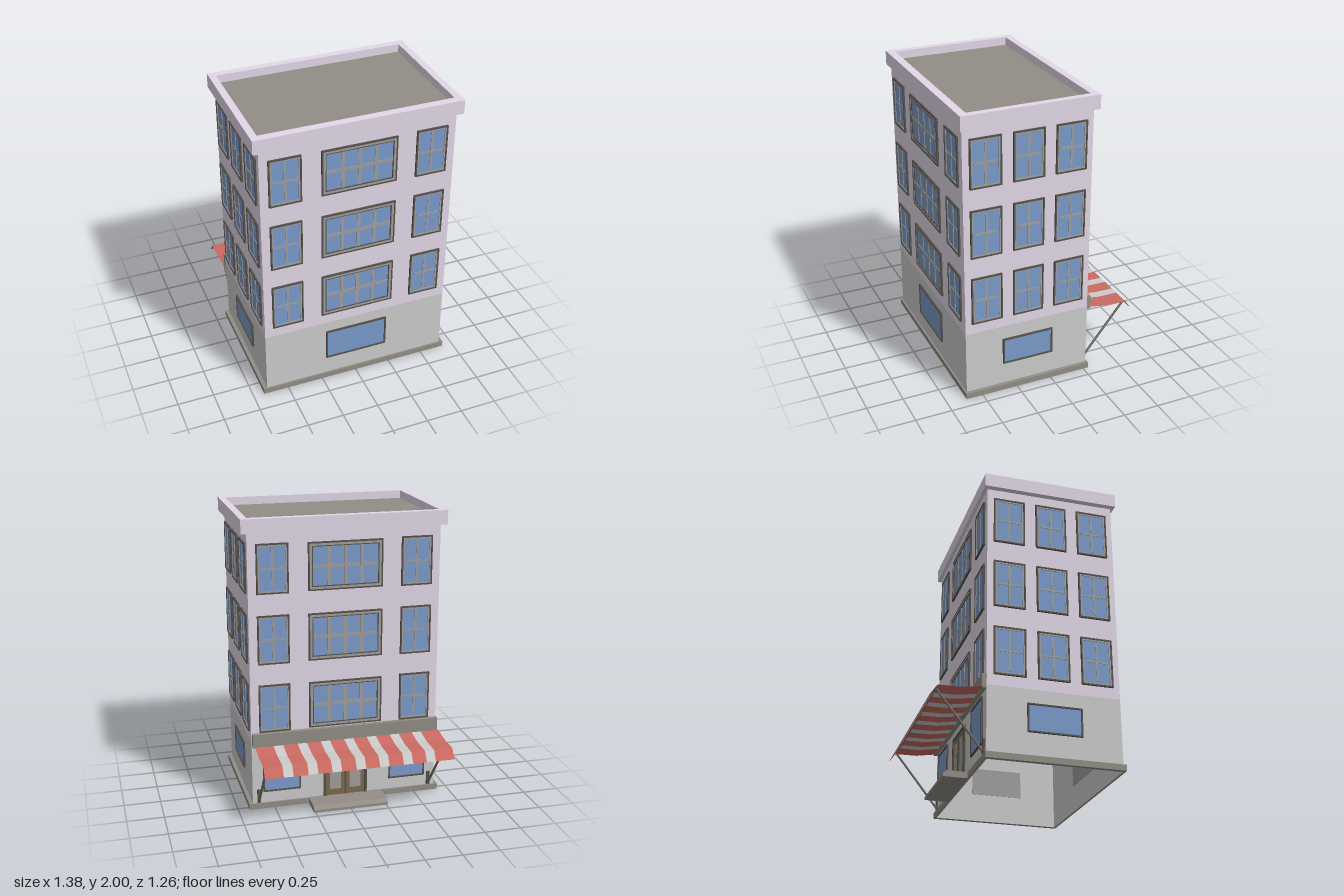
import * as THREE from 'three';

const material = (color, side = THREE.FrontSide) =>
  new THREE.MeshStandardMaterial({ color, side });
const WALL = material(0xe3d8e9), STONE = material(0xcccccc), ROOF = material(0x928e86);
const DARK = material(0x57524b), TRIM = material(0xa09f9c), GLASS = material(0x7b9bcb);
const WOOD = material(0x7d6a50), METAL = material(0x77736e), BACKING = material(0xa0a0a0);
const RED = material(0xcb6a62, THREE.DoubleSide), WHITE = material(0xdcdcdc, THREE.DoubleSide);

const W = 0.65, FRONT = 0.605, BACK = -0.275;

function add(parent, name, geometry, mat) {
  const mesh = new THREE.Mesh(geometry, mat);
  mesh.name = name;
  parent.add(mesh);
  return mesh;
}

// Box given by its lower and upper limits
function box(parent, name, mat, x0, x1, y0, y1, z0, z1) {
  const mesh = add(parent, name, new THREE.BoxGeometry(x1 - x0, y1 - y0, z1 - z0), mat);
  mesh.position.set((x0 + x1) / 2, (y0 + y1) / 2, (z0 + z1) / 2);
  return mesh;
}

// Rectangular ring extruded along +z; outer and inner are [x0, x1, y0, y1]
function ringGeometry(outer, inner, depth) {
  const trace = (p, [x0, x1, y0, y1]) =>
    p.moveTo(x0, y0).lineTo(x1, y0).lineTo(x1, y1).lineTo(x0, y1).closePath();
  const shape = trace(new THREE.Shape(), outer);
  shape.holes.push(trace(new THREE.Path(), inner));
  return new THREE.ExtrudeGeometry(shape, { depth, bevelEnabled: false });
}

// Horizontal ring around the building between two heights
function storeyRing(parent, name, mat, outer, inner, y0, y1) {
  const flip = ([x0, x1, z0, z1]) => [x0, x1, -z1, -z0];
  const geometry = ringGeometry(flip(outer), flip(inner), y1 - y0).rotateX(-Math.PI / 2);
  add(parent, name, geometry, mat).position.y = y0;
}

function frame(parent, name, mat, w, h, thick, depth) {
  const a = w / 2, b = h / 2;
  add(parent, name, ringGeometry([-a, a, -b, b],
    [-a + thick, a - thick, -b + thick, b - thick], depth), mat);
}

// Window facing +z, centred on its own origin
function makeWindow(w, h, cols, rows, wide = false) {
  const g = new THREE.Group();
  g.name = 'window';
  const a = w / 2 - 0.008, b = h / 2 - 0.008;
  box(g, 'glass', GLASS, -a, a, -b, b, -0.002, 0.004);
  frame(g, 'outerFrame', DARK, w, h, 0.01, 0.012);
  if (wide) {
    frame(g, 'middleFrame', TRIM, w - 0.01, h - 0.01, 0.02, 0.011);
    frame(g, 'innerFrame', DARK, w - 0.05, h - 0.05, 0.006, 0.01);
  } else if (cols > 1) {
    frame(g, 'innerFrame', TRIM, w - 0.02, h - 0.02, 0.01, 0.008);
  }
  const bar = wide ? 0.011 : 0.007, ia = w / 2 - 0.03, ib = h / 2 - 0.03;
  for (let i = 1; i < cols; i++) {
    const x = -ia + 2 * ia * i / cols;
    box(g, 'mullion', TRIM, x - bar, x + bar, -ib, ib, 0.003, 0.008);
  }
  for (let i = 1; i < rows; i++) {
    const y = -ib + 2 * ib * i / rows;
    box(g, 'transom', TRIM, -ia, ia, y - bar, y + bar, 0.003, 0.0075);
  }
  return g;
}

// Faces of the building as groups whose local +z points outwards
function makeFace(parent, name, x, z, angle) {
  const g = new THREE.Group();
  g.name = name;
  g.position.set(x, 0, z);
  g.rotation.y = angle;
  parent.add(g);
  return g;
}

function place(face, win, x, y) {
  win.position.set(x, y, 0);
  face.add(win);
}

// Double door with glazed leaves, facing +z
function makeDoor() {
  const g = new THREE.Group();
  g.name = 'door';
  const frameBox = [-0.155, 0.155, 0.04, 0.40];
  add(g, 'doorFrame', ringGeometry(frameBox, [-0.137, 0.137, 0.041, 0.382], 0.012), DARK);
  for (const s of [-1, 1]) {
    const leaf = new THREE.Group();
    leaf.name = 'doorLeaf';
    leaf.position.x = s * 0.07;
    add(leaf, 'leafFrame', ringGeometry([-0.066, 0.066, 0.042, 0.382],
      [-0.04, 0.04, 0.085, 0.355], 0.008), WOOD);
    box(leaf, 'leafGlass', TRIM, -0.045, 0.045, 0.08, 0.36, 0, 0.004);
    const knob = add(leaf, 'handle', new THREE.SphereGeometry(0.008, 10, 8), DARK);
    knob.position.set(-s * 0.052, 0.24, 0.012);
    g.add(leaf);
  }
  box(g, 'doorPost', DARK, -0.005, 0.005, 0.042, 0.382, 0, 0.01);
  return g;
}

// Striped awning: one bent strip per stripe
function makeAwning() {
  const g = new THREE.Group();
  g.name = 'awning';
  const profile = [[-0.30, 0.46], [-0.435, 0.437], [-0.585, 0.435], [-0.63, 0.37]];
  const edges = [-0.665, -0.535, -0.47, -0.375, -0.31, -0.21, -0.145, -0.05,
    0.015, 0.115, 0.18, 0.275, 0.34, 0.44, 0.505, 0.63];
  for (let i = 0; i < edges.length - 1; i++) {
    const points = [];
    for (let j = 0; j < 3; j++) {
      const [z0, y0] = profile[j], [z1, y1] = profile[j + 1];
      const a = [edges[i], y0, z0], b = [edges[i + 1], y0, z0];
      const c = [edges[i + 1], y1, z1], d = [edges[i], y1, z1];
      points.push(...a, ...b, ...c, ...a, ...c, ...d);
    }
    const geometry = new THREE.BufferGeometry();
    geometry.setAttribute('position', new THREE.Float32BufferAttribute(points, 3));
    geometry.computeVertexNormals();
    add(g, 'stripe', geometry, i % 2 ? WHITE : RED);
  }
  // Slanted support poles with wall brackets, and the front rail
  for (const x of [-0.607, 0.607]) {
    const pole = new THREE.LineCurve3(new THREE.Vector3(x, 0.06, -0.285), new THREE.Vector3(x, 0.43, -0.58));
    add(g, 'pole', new THREE.TubeGeometry(pole, 1, 0.008, 8), METAL);
    box(g, 'bracket', DARK, x - 0.012, x + 0.012, 0.045, 0.14, -0.287, BACK);
  }
  const rail = add(g, 'rail', new THREE.CylinderGeometry(0.004, 0.004, 1.26, 8).rotateZ(Math.PI / 2), METAL);
  rail.position.set(-0.015, 0.429, -0.582);
  return g;
}

export function createModel() {
  const model = new THREE.Group();
  model.name = 'building';

  // Hollow ground floor, solid upper floors, plinth
  const outer = [-W, W, BACK, FRONT];
  const inset = t => [-W + t, W - t, BACK + t, FRONT - t];
  storeyRing(model, 'groundFloorWalls', STONE, outer, inset(0.006), 0, 0.48);
  box(model, 'upperFloors', WALL, -W, W, 0.48, 1.91, BACK, FRONT);
  storeyRing(model, 'plinth', ROOF, [-0.675, 0.675, -0.287, 0.617], inset(0.001), 0, 0.04);

  // Parapet and sunken roof
  storeyRing(model, 'parapet', WALL, [-0.69, 0.69, -0.30, 0.627],
    [-0.643, 0.643, -0.25, 0.573], 1.905, 2);
  box(model, 'roof', ROOF, -0.644, 0.644, 1.9, 1.945, -0.251, 0.574);

  // Entrance step with a chamfered front edge
  const side = new THREE.Shape([[0.27, 0], [0.445, 0], [0.445, 0.018], [0.422, 0.041], [0.27, 0.041]]
    .map(p => new THREE.Vector2(...p)));
  const step = add(model, 'entranceStep',
    new THREE.ExtrudeGeometry(side, { depth: 0.52, bevelEnabled: false }), ROOF);
  step.rotation.y = Math.PI / 2;
  step.position.x = -0.26;

  const front = makeFace(model, 'frontFace', 0, FRONT, 0);
  const back = makeFace(model, 'backFace', 0, BACK, Math.PI);
  const left = makeFace(model, 'leftFace', W, 0, Math.PI / 2);
  const right = makeFace(model, 'rightFace', -W, 0, -Math.PI / 2);

  // Upper windows on three floors
  for (const y of [0.72, 1.195, 1.67]) {
    for (const face of [front, back]) {
      place(face, makeWindow(0.505, 0.322, 4, 2, true), 0, y);
      for (const s of [-1, 1]) place(face, makeWindow(0.213, 0.332, 2, 2), s * 0.488, y);
    }
    for (const z of [0.455, 0.165, -0.125]) {
      place(left, makeWindow(0.213, 0.332, 2, 2), -z, y);
      place(right, makeWindow(0.213, 0.332, 2, 2), z, y);
    }
  }

  // Ground floor windows, with panels behind them on the inside
  const shopWindow = (face, x, y, w, h) => {
    place(face, makeWindow(w, h, 1, 1), x, y);
    box(face, 'innerPanel', BACKING, x - w / 2, x + w / 2, y - h / 2, y + h / 2, -0.009, -0.005);
  };
  shopWindow(front, 0, 0.29, 0.44, 0.23);
  shopWindow(left, -0.165, 0.29, 0.36, 0.19);
  shopWindow(right, 0.165, 0.29, 0.36, 0.19);
  for (const s of [-1, 1]) shopWindow(back, s * 0.445, 0.275, 0.26, 0.31);

  // Entrance, sign board and awning
  back.add(makeDoor());
  box(model, 'signBoard', ROOF, -0.655, 0.645, 0.455, 0.55, -0.305, BACK);
  model.add(makeAwning());
  return model;
}
